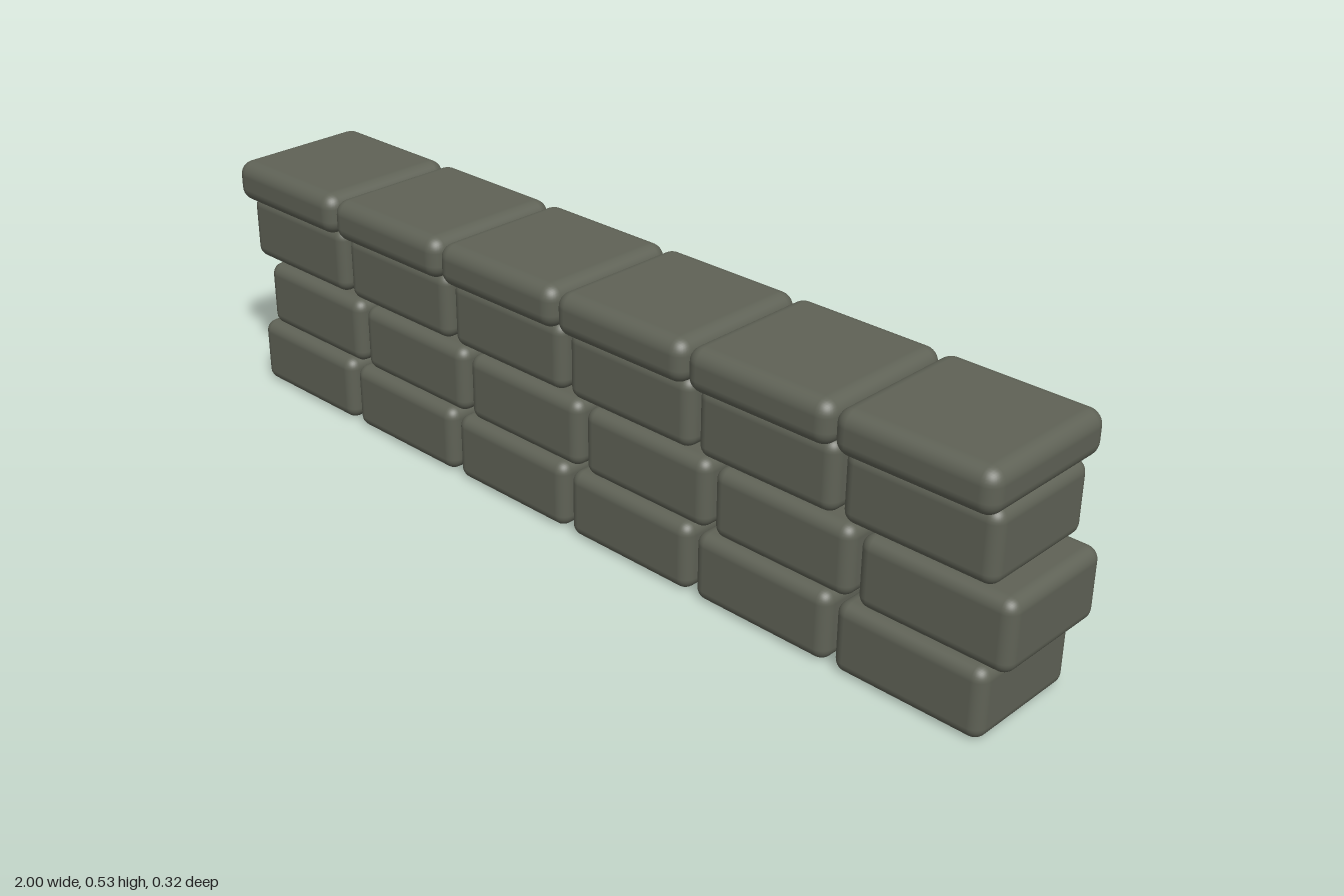
import * as THREE from 'three';
import { RoundedBoxGeometry } from 'three/addons/geometries/RoundedBoxGeometry.js';

export function createModel() {
  const wall = new THREE.Group();
  wall.name = 'stoneWall';

  const stone = new THREE.MeshStandardMaterial({ color: 0x5f6256 });
  stone.name = 'mossy grey stone';

  const COLUMNS = 6;
  const PITCH = 0.3275;
  const brick = new RoundedBoxGeometry(0.313, 0.143, 0.26, 4, 0.025);
  const capstone = new RoundedBoxGeometry(0.323, 0.088, 0.32, 4, 0.03);

  // One horizontal row of equal stones, centred on x
  function addCourse(name, geometry, x, y) {
    const course = new THREE.Group();
    course.name = name;
    for (let i = 0; i < COLUMNS; i++) {
      const mesh = new THREE.Mesh(geometry, stone);
      mesh.name = `${name}Stone${i + 1}`;
      mesh.position.set(x + (i - (COLUMNS - 1) / 2) * PITCH, y, 0);
      course.add(mesh);
    }
    wall.add(course);
  }

  // Three brick courses, the middle one shifted sideways
  addCourse('lowerCourse', brick, -0.0195, 0.0725);
  addCourse('middleCourse', brick, 0.0225, 0.2235);
  addCourse('upperCourse', brick, -0.0195, 0.3725);

  // Wider, flatter coping on top
  addCourse('coping', capstone, -0.0195, 0.4835);

  return wall;
}
